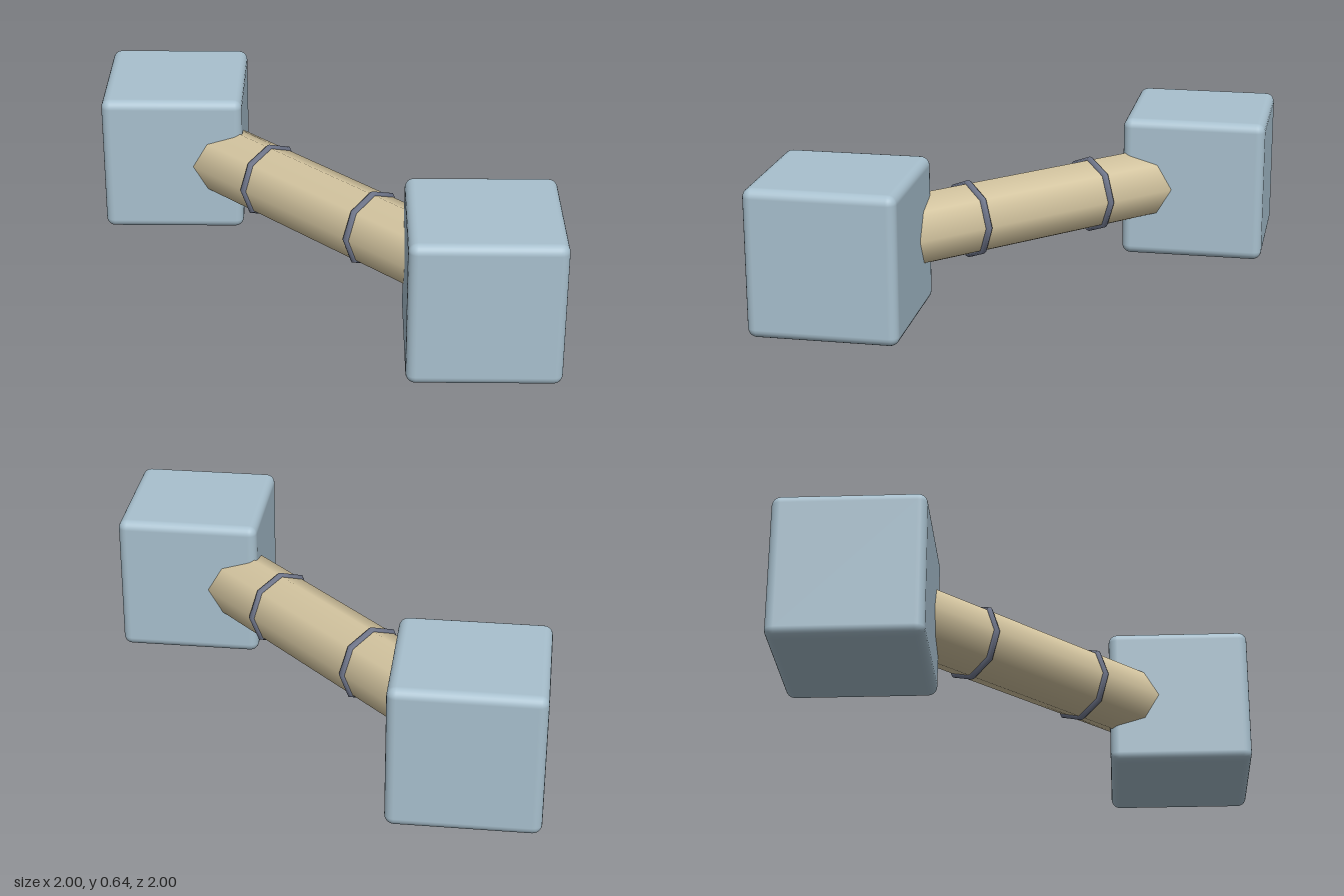
import * as THREE from 'three';
import { RoundedBoxGeometry } from 'three/addons/geometries/RoundedBoxGeometry.js';

export function createModel() {
  const material = (name, color) => {
    const m = new THREE.MeshStandardMaterial({ color });
    m.name = name;
    return m;
  };
  const paleBlue = material('pale blue', 0xa8c0ce);
  const sand = material('sand', 0xd4c5a0);
  const slate = material('slate', 0x70778c);

  const model = new THREE.Group();
  model.name = 'diagonalDumbbell';
  const size = 0.64, offset = 0.68, radius = 0.16;

  // Rounded cubes at opposite corners
  const cubeGeometry = new RoundedBoxGeometry(size, size, size, 3, 0.04);
  for (const s of [-1, 1]) {
    const cube = new THREE.Mesh(cubeGeometry, paleBlue);
    cube.name = s < 0 ? 'backRightCube' : 'frontLeftCube';
    cube.position.set(s * offset, size / 2, s * offset);
    model.add(cube);
  }

  // Diagonal connector, built along z and turned 45 degrees
  const connector = new THREE.Group();
  connector.name = 'connector';
  connector.position.y = size / 2;
  connector.rotation.y = Math.PI / 4;
  model.add(connector);

  // Eight-sided smooth rod running between the cube centres
  const rod = new THREE.Mesh(
    new THREE.CylinderGeometry(radius, radius, offset * 2 * Math.SQRT2, 8), sand);
  rod.name = 'rod';
  rod.rotation.x = Math.PI / 2;
  connector.add(rod);

  // Thin bands around the rod
  const bandGeometry = new THREE.TorusGeometry(radius, 0.016, 6, 8);
  for (const s of [-1, 1]) {
    const band = new THREE.Mesh(bandGeometry, slate);
    band.name = s < 0 ? 'backBand' : 'frontBand';
    band.position.z = s * 0.23 * Math.SQRT2;
    connector.add(band);
  }
  return model;
}
